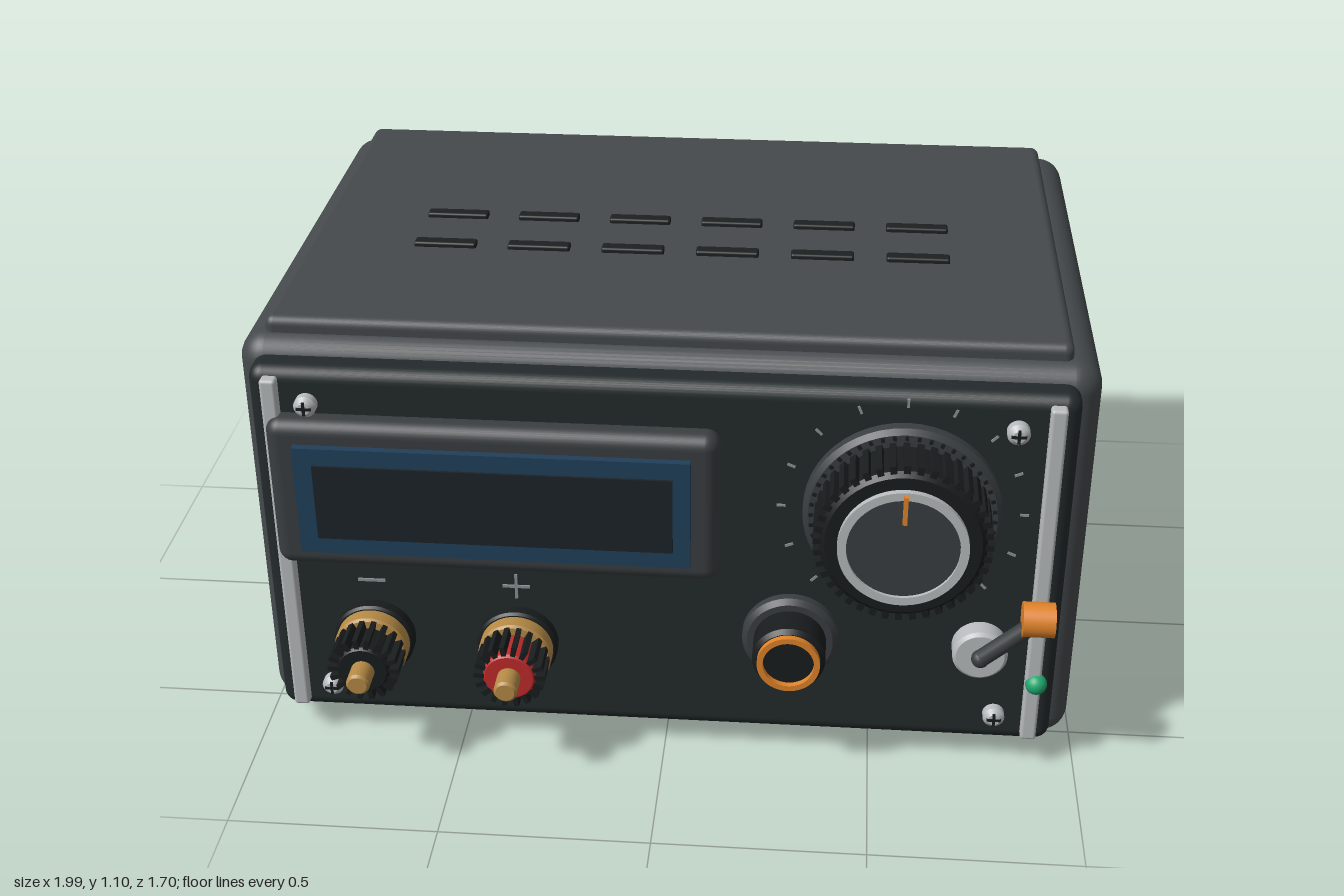
import * as THREE from 'three';
import { RoundedBoxGeometry } from 'three/addons/geometries/RoundedBoxGeometry.js';

const mat = (color) => new THREE.MeshStandardMaterial({ color });
const M = {
  body: mat(0x45494c), panel: mat(0x232a2b), black: mat(0x191c1d), vent: mat(0x1d2021),
  grey: mat(0x3a3e40), metal: mat(0xb9bcbe), brass: mat(0xb58a45), red: mat(0xc02a2a),
  orange: mat(0xe0832a), frame: mat(0x21405a), glass: mat(0x1b2327), green: mat(0x1fa870), mark: mat(0x8a9092),
};

export function createModel() {
  const model = new THREE.Group();

  const add = (parent, name, geometry, material, x = 0, y = 0, z = 0) => {
    const mesh = new THREE.Mesh(geometry, material);
    mesh.name = name;
    mesh.position.set(x, y, z);
    parent.add(mesh);
    return mesh;
  };
  const group = (name, x = 0, y = 0, z = 0) => {
    const g = new THREE.Group();
    g.name = name;
    g.position.set(x, y, z);
    model.add(g);
    return g;
  };
  // Box given by its limits; r > 0 rounds the edges
  const block = (parent, name, material, [x0, x1], [y0, y1], [z0, z1], r = 0) => {
    const s = [x1 - x0, y1 - y0, z1 - z0];
    const geo = r ? new RoundedBoxGeometry(...s, 4, r) : new THREE.BoxGeometry(...s);
    return add(parent, name, geo, material, (x0 + x1) / 2, (y0 + y1) / 2, (z0 + z1) / 2);
  };
  // Disc facing the front, between depths z0 and z1, with a small bevel
  const disc = (parent, name, material, r, z0, z1, bevel = 0.006) => {
    const b = Math.min(bevel, (z1 - z0) / 2);
    const pts = [[0, z0], [r, z0], [r, z0], [r, z1 - b], [r, z1 - b], [r - b, z1], [r - b, z1], [0, z1]];
    const geo = new THREE.LatheGeometry(pts.map((p) => new THREE.Vector2(...p)), 48);
    return add(parent, name, geo.rotateX(Math.PI / 2), material);
  };
  // Flat-faced ring facing the front
  const ring = (parent, name, material, ri, ro, z0, z1) => {
    const s = new THREE.Shape().absarc(0, 0, ro, 0, Math.PI * 2);
    s.holes.push(new THREE.Path().absarc(0, 0, ri, 0, Math.PI * 2, true));
    const geo = new THREE.ExtrudeGeometry(s, { depth: z1 - z0, bevelEnabled: false, curveSegments: 32 });
    return add(parent, name, geo, material, 0, 0, z0);
  };
  // Bars set around a circle, from radius ri to ro
  const spokes = (parent, name, material, n, ri, ro, width, z0, z1, from = 0, sweep = Math.PI * 2) => {
    for (let i = 0; i < n; i++) {
      const a = from + (sweep * i) / n;
      const r = (ri + ro) / 2;
      const bar = add(parent, name, new THREE.BoxGeometry(ro - ri, width, z1 - z0), material,
        Math.cos(a) * r, Math.sin(a) * r, (z0 + z1) / 2);
      bar.rotation.z = a;
    }
  };

  // Case: shell, lid, front and back panels
  const casing = group('case');
  block(casing, 'shell', M.body, [-0.995, 0.988], [0.022, 1.047], [-0.765, 0.565], 0.065);
  block(casing, 'lid', M.body, [-0.935, 0.92], [1.02, 1.083], [-0.717, 0.515], 0.022);
  block(casing, 'frontPanel', M.panel, [-0.955, 0.937], [0.06, 1.01], [0.52, 0.628], 0.035);
  block(casing, 'backPanel', M.panel, [-0.942, 0.925], [0.07, 1.0], [-0.803, -0.7], 0.03);
  block(casing, 'backSocket', M.black, [-0.245, 0.037], [0.25, 0.427], [-0.85, -0.78], 0.025);

  // Lid slots, side vents and feet
  const vents = group('vents');
  for (const z of [-0.107, 0.075])
    for (let i = 0; i < 6; i++) {
      const x = -0.588 + i * 0.2327;
      block(vents, 'lidSlot', M.vent, [x - 0.077, x + 0.077], [1.07, 1.095], [z - 0.018, z + 0.018], 0.006);
    }
  for (let i = 0; i < 7; i++) {
    const z = 0.141 - i * 0.081;
    block(vents, 'sideVent', M.vent, [0.97, 0.999], [0.543, 0.82], [z - 0.024, z + 0.024], 0.006);
  }
  const feet = group('feet');
  for (const x of [-0.74, 0.725])
    for (const z of [-0.616, 0.41])
      add(feet, 'foot', new THREE.CylinderGeometry(0.08, 0.073, 0.04, 32), M.black, x, 0.02, z);

  // Bright trim strips and cross-head screws on the front
  const trim = group('frontTrim');
  for (const x of [-0.9, 0.883])
    block(trim, 'trimStrip', M.metal, [x - 0.019, x + 0.019], [0.085, 0.99], [0.61, 0.652], 0.008);
  for (const x of [-0.818, 0.797])
    for (const y of [0.145, 0.925]) {
      const screw = group('screw', x, y);
      disc(screw, 'screwHead', M.metal, 0.026, 0.62, 0.66, 0.012);
      spokes(screw, 'screwSlot', M.black, 4, 0, 0.017, 0.007, 0.65, 0.6615);
    }

  // Display
  const display = group('display');
  block(display, 'bezel', M.grey, [-0.912, 0.133], [0.513, 0.9], [0.6, 0.682], 0.035);
  block(display, 'screenFrame', M.frame, [-0.845, 0.068], [0.567, 0.845], [0.66, 0.7]);
  block(display, 'screenGlass', M.glass, [-0.8, 0.028], [0.61, 0.802], [0.69, 0.706]);

  // Input terminals with ribbed caps, and their polarity marks
  for (const [x, core, name] of [[-0.702, M.black, 'negativeTerminal'], [-0.353, M.red, 'positiveTerminal']]) {
    const t = group(name, x, 0.294);
    disc(t, 'terminalBase', M.black, 0.097, 0.62, 0.66);
    disc(t, 'terminalCollar', M.brass, 0.088, 0.65, 0.7);
    disc(t, 'terminalCap', core, 0.063, 0.69, 0.785);
    spokes(t, 'terminalRib', M.black, 18, 0.058, 0.085, 0.012, 0.7, 0.782);
    disc(t, 'terminalPost', M.brass, 0.028, 0.78, 0.845);
    block(t, 'polarityMark', M.mark, [-0.033, 0.033], [0.152, 0.159], [0.625, 0.632]);
    if (core === M.red) block(t, 'polarityMark', M.mark, [-0.0035, 0.0035], [0.122, 0.189], [0.625, 0.632]);
  }

  // Large range knob with dial ticks
  const range = group('rangeKnob', 0.55, 0.706);
  disc(range, 'knobSkirt', M.grey, 0.228, 0.62, 0.665, 0.012);
  spokes(range, 'skirtNotch', M.black, 48, 0.204, 0.214, 0.008, 0.66, 0.669);
  disc(range, 'knobBody', M.black, 0.188, 0.66, 0.785, 0.012);
  spokes(range, 'knobRib', M.black, 40, 0.178, 0.202, 0.015, 0.672, 0.778);
  ring(range, 'knobRing', M.metal, 0.127, 0.147, 0.775, 0.8);
  disc(range, 'knobFace', M.grey, 0.128, 0.775, 0.793, 0.002);
  block(range, 'knobPointer', M.orange, [-0.005, 0.005], [0.07, 0.14], [0.785, 0.81]);
  spokes(range, 'dialTick', M.mark, 13, 0.268, 0.288, 0.006, 0.625, 0.631, -Math.PI / 4, Math.PI * 1.625);

  // Zero knob
  const zero = group('zeroKnob', 0.302, 0.348);
  disc(zero, 'zeroCollar', M.grey, 0.114, 0.62, 0.66, 0.012);
  disc(zero, 'zeroBody', M.black, 0.086, 0.65, 0.742, 0.01);
  ring(zero, 'zeroRing', M.orange, 0.06, 0.074, 0.735, 0.757);

  // Mode lever switch and indicator lamp
  const mode = group('modeSwitch');
  disc(mode, 'switchPlate', M.metal, 0.065, 0.62, 0.68, 0.008).position.set(0.75, 0.342, 0);
  const path = new THREE.LineCurve3(new THREE.Vector3(0.75, 0.345, 0.69), new THREE.Vector3(0.86, 0.455, 0.705));
  add(mode, 'switchLever', new THREE.TubeGeometry(path, 1, 0.021, 16), M.grey);
  add(mode, 'leverBase', new THREE.SphereGeometry(0.022, 16, 12), M.grey, 0.75, 0.345, 0.69);
  add(mode, 'leverTip', new THREE.CylinderGeometry(0.041, 0.041, 0.074, 32).rotateZ(Math.PI / 2), M.orange, 0.873, 0.476, 0.71);
  add(mode, 'lamp', new THREE.SphereGeometry(0.026, 24, 16), M.green, 0.89, 0.25, 0.648);

  return model;
}
